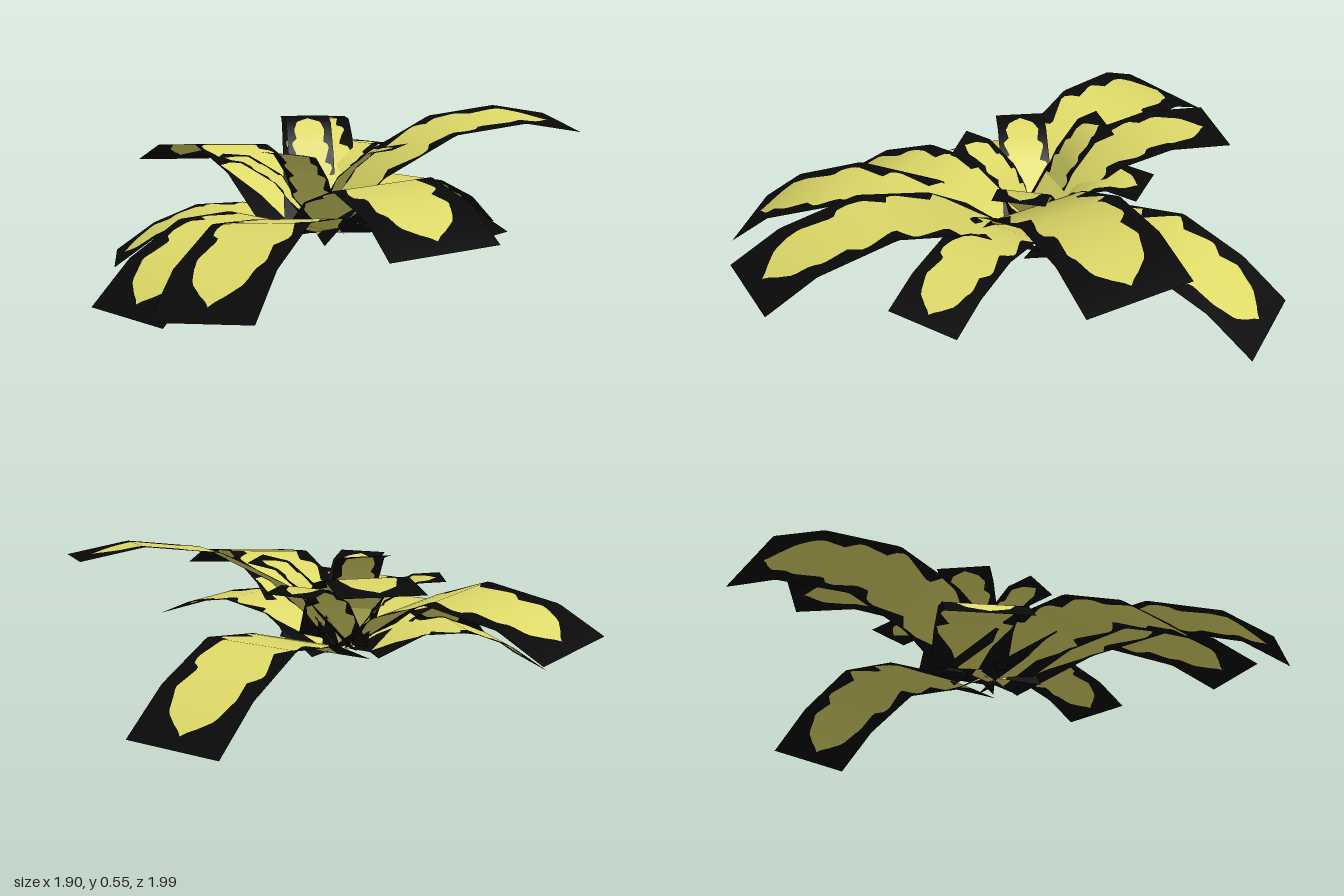
import * as THREE from 'three';

const leafYellow = new THREE.MeshStandardMaterial({ color: 0xdeda68, side: THREE.DoubleSide });
leafYellow.name = 'leafYellow';
const cardBlack = new THREE.MeshStandardMaterial({ color: 0x090909, side: THREE.DoubleSide });
cardBlack.name = 'cardBlack';

// Lobed leaf outline: [position along the card, half width as a fraction of the card]
const OUTLINE = [[0, .25], [.15, .5], [.27, .88], [.34, .95], [.36, .62], [.48, .9], [.51, .88], [.53, .6],
  [.64, .8], [.67, .78], [.69, .58], [.78, .68], [.8, .62], [.87, .5], [.925, .15], [.935, 0], [1, 0]];

// Linear lookup in a table of [key, value]
function lookup(table, k) {
  let i = 1;
  while (i < table.length - 1 && table[i][0] < k) i++;
  const [k0, a] = table[i - 1], [k1, b] = table[i];
  return a + (b - a) * THREE.MathUtils.clamp((k - k0) / (k1 - k0), 0, 1);
}

// A bent rectangular card; its middle is the leaf, its margins are black.
// profile: [horizontal distance back from the tip, height], base first
function leafCard({ tip, dir, width, roll = 0, profile }) {
  const d = new THREE.Vector3(dir[0], 0, dir[1]).normalize();
  const side = new THREE.Vector3(-d.z, roll * 2 / width, d.x);
  const pts = profile.map(([r, y]) => new THREE.Vector3(tip[0] - d.x * r, y, tip[1] - d.z * r));

  // arc length and averaged normals at the bends
  const len = [0];
  for (let i = 1; i < pts.length; i++) len.push(len[i - 1] + pts[i].distanceTo(pts[i - 1]));
  const total = len[len.length - 1];
  const segs = pts.slice(1).map((p, i) => p.clone().sub(pts[i]).normalize());
  const normals = pts.map((p, i) => {
    const t = (segs[i - 1] || segs[i]).clone().add(segs[i] || segs[i - 1]);
    return side.clone().cross(t).normalize();
  });

  const rows = 56, pos = [], nor = [], black = [], yellow = [];
  for (let j = 0; j <= rows; j++) {
    const t = j / rows, s = t * total;
    let i = 1;
    while (i < pts.length - 1 && len[i] < s) i++;
    const f = (s - len[i - 1]) / (len[i] - len[i - 1]);
    const p = pts[i - 1].clone().lerp(pts[i], f);
    const n = normals[i - 1].clone().lerp(normals[i], f).normalize();
    // the right-hand lobes sit a little further back than the left ones
    const wl = lookup(OUTLINE, t);
    const wr = lookup(OUTLINE, t < .8 ? t + .05 * Math.sin(Math.PI * t / .8) : t);
    for (const u of [-1, -wl, wr, 1]) {
      pos.push(...p.clone().addScaledVector(side, u * width / 2).toArray());
      nor.push(...n.toArray());
    }
    if (j === rows) break;
    for (let c = 0; c < 3; c++) {
      const a = j * 4 + c;
      (c === 1 ? yellow : black).push(a, a + 1, a + 5, a, a + 5, a + 4);
    }
  }
  const g = new THREE.BufferGeometry();
  g.setAttribute('position', new THREE.Float32BufferAttribute(pos, 3));
  g.setAttribute('normal', new THREE.Float32BufferAttribute(nor, 3));
  g.setIndex([...black, ...yellow]);
  g.addGroup(0, black.length, 0);
  g.addGroup(black.length, yellow.length, 1);
  return new THREE.Mesh(g, [cardBlack, leafYellow]);
}

// Large spreading leaves
const OUTER = {
  backLeaf: { tip: [.115, -.98], dir: [.114, -.99], width: .35,
    profile: [[.85, .13], [.65, .22], [.4, .26], [.17, .16], [0, .03]] },
  backLeftLeaf: { tip: [.68, -.67], dir: [.7, -.71], width: .34, roll: -.015,
    profile: [[.93, .13], [.72, .36], [.46, .505], [.205, .54], [0, .505]] },
  leftLeaf: { tip: [.71, .02], dir: [.988, .15], width: .265,
    profile: [[.7, .13], [.5, .26], [.32, .29], [.14, .26], [0, .2]] },
  frontLeftLeaf: { tip: [.85, .565], dir: [.8, .6], width: .335, roll: -.013,
    profile: [[1, .13], [.73, .31], [.46, .395], [.18, .36], [0, .278]] },
  frontLeaf: { tip: [.295, .955], dir: [.21, .98], width: .335, roll: -.016,
    profile: [[1, .13], [.7, .24], [.4, .285], [.15, .2], [0, .08]] },
  frontMiddleLeaf: { tip: [-.1, .84], dir: [-.117, .99], width: .34,
    profile: [[.9, .13], [.62, .215], [.38, .225], [.16, .13], [0, 0]] },
  frontRightLeaf: { tip: [-.57, .4], dir: [-.74, .67], width: .27,
    profile: [[.65, .13], [.48, .2], [.3, .195], [.14, .13], [0, .03]] },
  rightLeaf: { tip: [-.895, -.3], dir: [-.95, -.32], width: .34, roll: -.015,
    profile: [[.9, .15], [.68, .31], [.45, .39], [.17, .355], [0, .275]] },
  backRightLeaf: { tip: [-.4, -.62], dir: [-.6, -.8], width: .27,
    profile: [[.75, .13], [.58, .31], [.4, .43], [.22, .475], [0, .46]] },
};

// Small upright leaves around the heart
const INNER = {
  innerBackLeaf: { tip: [-.01, -.48], dir: [.05, -1], width: .18,
    profile: [[.4, .15], [.25, .34], [.11, .41], [0, .4]] },
  innerLeftLeaf: { tip: [.3, -.14], dir: [.97, -.2], width: .18,
    profile: [[.31, .15], [.2, .34], [.1, .425], [0, .445]] },
  innerFrontLeaf: { tip: [.03, .2], dir: [.1, 1], width: .17,
    profile: [[.27, .15], [.18, .33], [.09, .42], [0, .44]] },
  innerRightLeaf: { tip: [-.32, .11], dir: [-.85, .45], width: .18,
    profile: [[.35, .15], [.22, .31], [.1, .38], [0, .385]] },
  innerBackRightLeaf: { tip: [-.19, -.27], dir: [-.65, -.75], width: .17,
    profile: [[.25, .15], [.15, .38], [.07, .49], [0, .51]] },
};

export function createModel() {
  const plant = new THREE.Group();
  plant.name = 'rosettePlant';
  for (const [groupName, set] of Object.entries({ outerLeaves: OUTER, innerLeaves: INNER })) {
    const group = new THREE.Group();
    group.name = groupName;
    for (const [name, spec] of Object.entries(set)) {
      const leaf = leafCard(spec);
      leaf.name = name;
      group.add(leaf);
    }
    plant.add(group);
  }
  return plant;
}
